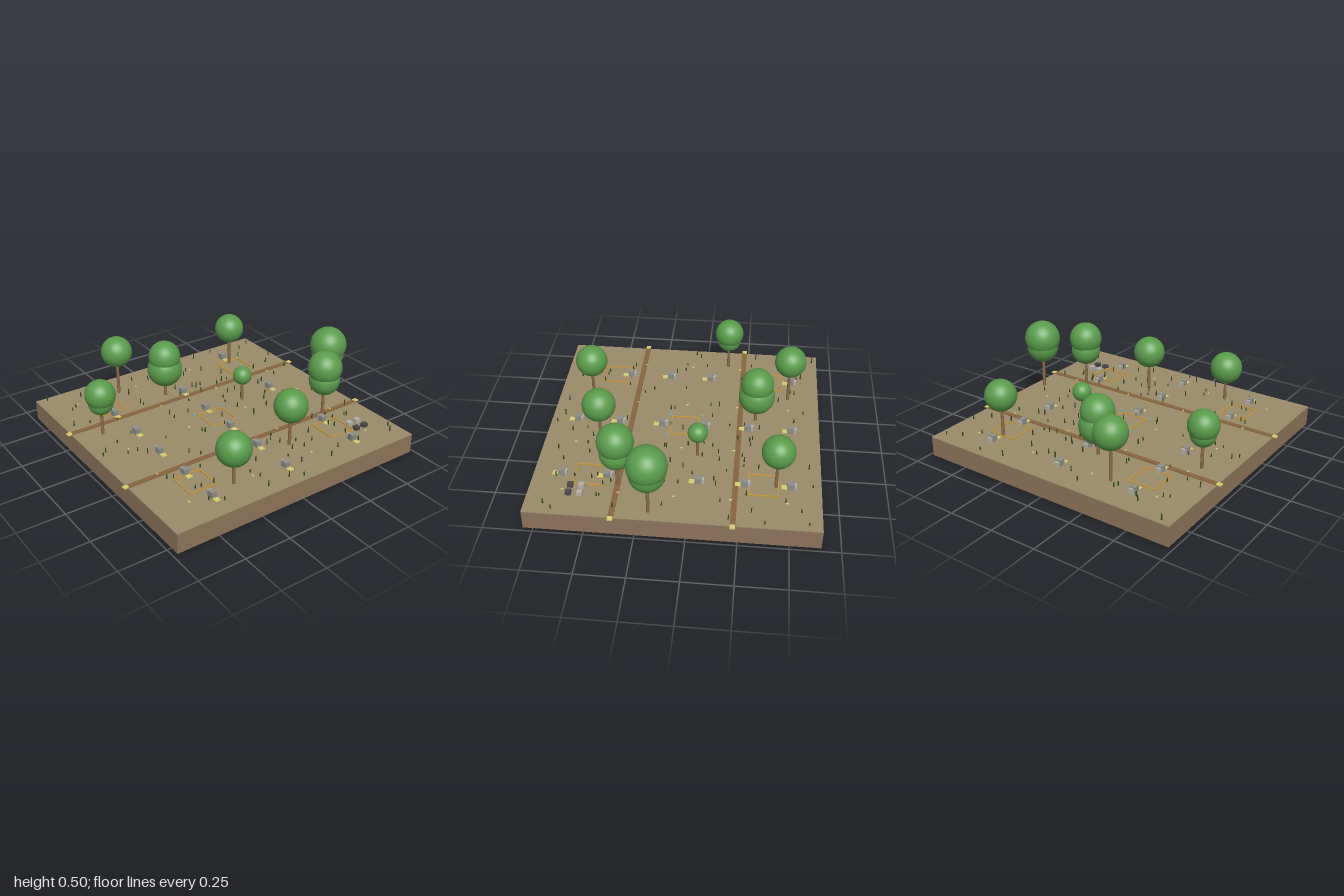
import * as THREE from 'three';

const GROUND = 0.108;
const CX = 0.0725, CZ = 0.248, SIDE = 1.455;

const mat = (color) => new THREE.MeshStandardMaterial({ color });
const M = {
  soil: mat(0x8f745a), ground: mat(0x9a8a6a), path: mat(0x86643f), leaf: mat(0x5a9c4c),
  trunk: mat(0x8a6a4c), grass: mat(0x2f4a26), orange: mat(0xc8963c), yellow: mat(0xd8cc70),
  grey: mat(0x8c8c88), dark: mat(0x4a4a4c), pale: mat(0xb4b0a8), blue: mat(0x78b4c0),
};

// Adds a box whose underside rests at height y
function box(parent, name, material, w, h, d, x, y, z) {
  const m = new THREE.Mesh(new THREE.BoxGeometry(w, h, d), material);
  m.name = name;
  m.position.set(x, y + h / 2, z);
  parent.add(m);
  return m;
}

function group(parent, name, x = 0, y = 0, z = 0) {
  const g = new THREE.Group();
  g.name = name;
  g.position.set(x, y, z);
  parent.add(g);
  return g;
}

// Trunk with one or two ball crowns, each given as [height, radius]
function tree(parent, x, z, crowns) {
  const g = group(parent, 'tree', x, 0, z);
  const top = crowns[0][0];
  const trunk = new THREE.Mesh(new THREE.CylinderGeometry(0.007, 0.009, top - GROUND, 10), M.trunk);
  trunk.name = 'trunk';
  trunk.position.y = (top + GROUND) / 2;
  g.add(trunk);
  for (const [y, r] of crowns) {
    const crown = new THREE.Mesh(new THREE.SphereGeometry(r, 32, 20), M.leaf);
    crown.name = 'crown';
    crown.position.y = y;
    g.add(crown);
  }
}

// Square plot outline made of four thin bars
function plotFrame(parent, x, z) {
  const g = group(parent, 'plotFrame', x, GROUND, z);
  const s = 0.148, t = 0.005;
  for (const k of [-1, 1]) {
    box(g, 'frameBar', M.orange, s, 0.006, t, 0, 0, k * s / 2);
    box(g, 'frameBar', M.orange, t, 0.006, s, k * s / 2, 0, 0);
  }
}

// Recording box with a small side unit and a yellow card beside it
function station(parent, x, z) {
  const g = group(parent, 'station', x, GROUND, z);
  box(g, 'stationBox', M.grey, 0.034, 0.032, 0.03, -0.034, 0, 0);
  box(g, 'stationSideUnit', M.pale, 0.012, 0.026, 0.024, -0.057, 0, 0);
  box(g, 'stationCard', M.yellow, 0.028, 0.005, 0.028, 0, 0, 0);
}

function seeded(seed) {
  return () => {
    seed = (seed * 1664525 + 1013904223) % 4294967296;
    return seed / 4294967296;
  };
}

export function createModel() {
  const root = new THREE.Group();
  root.name = 'fieldPlot';

  // Soil slab with a thin ground layer
  box(root, 'soilSlab', M.soil, SIDE, 0.104, SIDE, CX, 0, CZ);
  box(root, 'groundLayer', M.ground, SIDE, 0.004, SIDE, CX, 0.104, CZ);

  // Two straight transect paths with end markers
  for (const x of [-0.225, 0.362]) {
    box(root, 'transectPath', M.path, 0.028, 0.004, SIDE, x, GROUND, CZ);
    for (const k of [-1, 1]) {
      box(root, 'pathMarker', M.yellow, 0.026, 0.006, 0.026, x, GROUND, CZ + k * 0.735);
    }
  }

  // Trees: x, z, crowns
  const trees = [
    [0.186, -0.42, [[0.404, 0.1], [0.355, 0.09]]],
    [0.362, -0.243, [[0.386, 0.092], [0.314, 0.083]]],
    [-0.428, -0.187, [[0.338, 0.084]]],
    [-0.018, 0.018, [[0.257, 0.052]]],
    [0.506, 0.105, [[0.333, 0.088]]],
    [-0.309, 0.34, [[0.347, 0.088], [0.27, 0.097]]],
    [-0.484, 0.543, [[0.364, 0.086]]],
    [0.624, 0.543, [[0.3, 0.088]]],
    [-0.134, 0.835, [[0.34, 0.08], [0.295, 0.066]]],
  ];
  for (const t of trees) tree(root, ...t);

  // Plot frames at the corners and the middle
  for (const [x, z] of [[-0.366, -0.187], [0.512, -0.187], [0.07, 0.25], [-0.366, 0.688], [0.512, 0.688]]) {
    plotFrame(root, x, z);
  }
  for (const i of [-1, 1]) {
    for (const j of [-1, 1]) {
      const peg = new THREE.Mesh(new THREE.CylinderGeometry(0.006, 0.006, 0.01, 12), M.blue);
      peg.name = 'cornerPeg';
      peg.position.set(0.071 + i * 0.087, GROUND + 0.005, 0.25 + j * 0.088);
      root.add(peg);
    }
  }

  // Regular grid of stations
  for (const z of [-0.19, 0.25, 0.688]) {
    for (let i = 0; i < 6; i++) station(root, -0.468 + i * 0.2315, z);
  }

  // Small ground tags
  for (let j = 0; j < 4; j++) {
    for (let i = 0; i < 5; i++) {
      box(root, 'groundTag', M.yellow, 0.014, 0.005, 0.007, -0.485 + i * 0.279, GROUND, -0.305 + j * 0.369);
    }
  }

  // Cluster of four equipment blocks
  for (const z of [-0.332, -0.277]) {
    box(root, 'equipmentBlock', M.pale, 0.028, 0.02, 0.028, 0.538, GROUND, z);
    box(root, 'equipmentBlock', M.dark, 0.028, 0.02, 0.028, 0.595, GROUND, z);
  }

  // Scattered grass tufts
  const rnd = seeded(7);
  const tufts = group(root, 'grassTufts');
  const blade = new THREE.CylinderGeometry(0.003, 0.004, 1, 6);
  for (let i = 0; i < 120; i++) {
    const h = 0.014 + rnd() * 0.018;
    const tuft = new THREE.Mesh(blade, M.grass);
    tuft.name = 'grassTuft';
    tuft.scale.y = h;
    tuft.position.set(CX + (rnd() - 0.5) * 1.4, GROUND + h / 2, CZ + (rnd() - 0.5) * 1.4);
    tufts.add(tuft);
  }
  return root;
}
